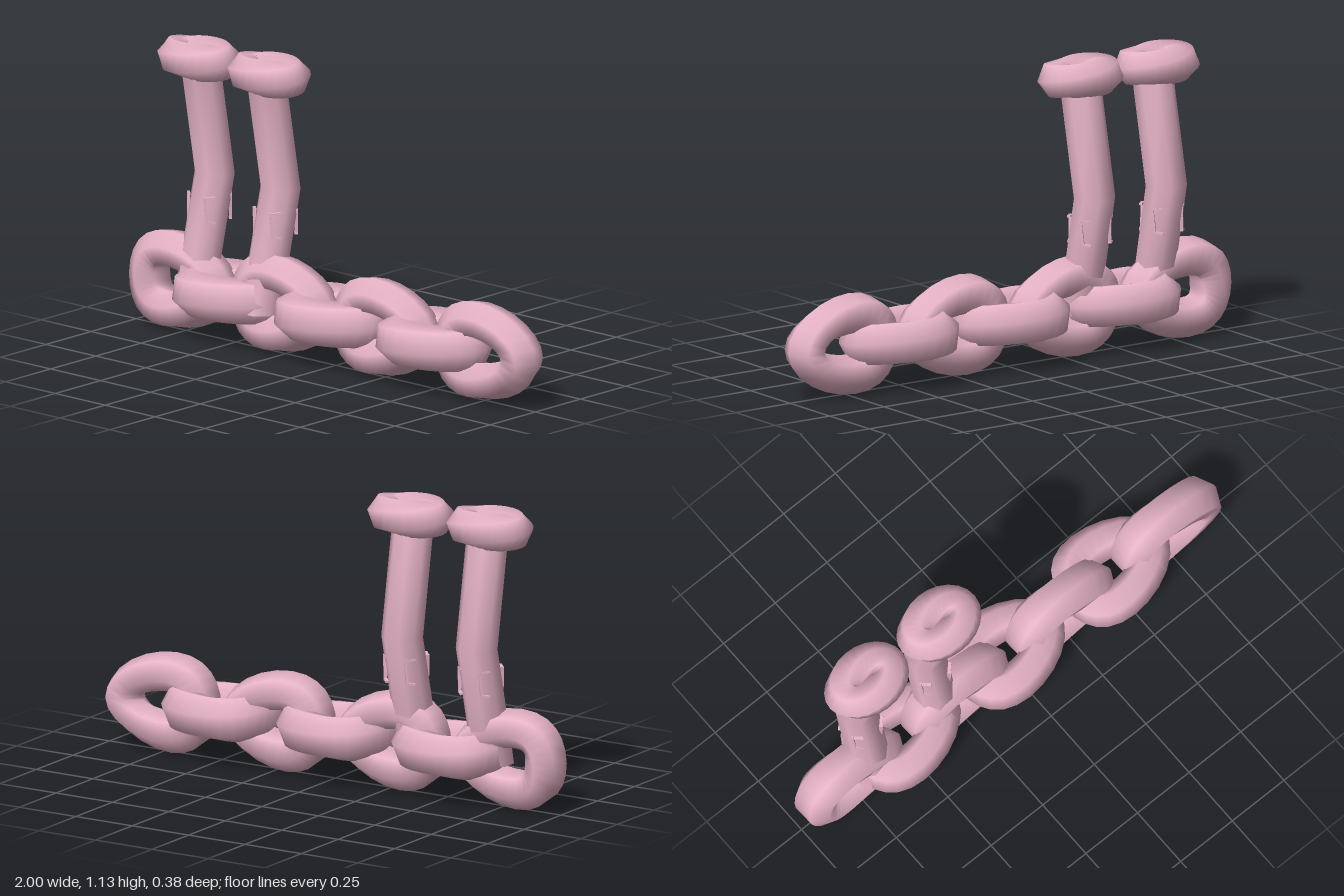
import * as THREE from 'three';
import { mergeVertices } from 'three/addons/utils/BufferGeometryUtils.js';

const pink = new THREE.MeshStandardMaterial({ color: 0xe6b3c6, side: THREE.DoubleSide });

// Closed oval ring in the xy plane: a hexagonal section that twists by `twist` sixths of a turn.
function twistedRing({ a, b, rIn, rOut, twist, skew }) {
  const N = 24, S = 6, pos = [], idx = [];
  for (let i = 0; i < N; i++) {
    const t = (i / N) * Math.PI * 2, c = Math.cos(t), s = Math.sin(t);
    for (let j = 0; j < S; j++) {
      const p = (j * Math.PI) / 3 + (twist * t) / 6;
      const d = rIn * Math.cos(p);
      pos.push(a * c - skew * s * s + d * c, b * s + d * s, rOut * Math.sin(p));
    }
  }
  const at = (i, j) => (i === N ? (j + twist) % S : i * S + (j % S));
  for (let i = 0; i < N; i++) {
    for (let j = 0; j < S; j++) {
      const p = at(i, j), q = at(i + 1, j), r = at(i + 1, j + 1), s = at(i, j + 1);
      idx.push(p, q, r, p, r, s);
    }
  }
  const g = new THREE.BufferGeometry();
  g.setAttribute('position', new THREE.Float32BufferAttribute(pos, 3));
  g.setIndex(idx);
  g.computeVertexNormals();
  return g;
}

// Pillar lean: the axis kinks backwards at mid height.
const axisZ = (y) => (y < 0.61 ? 0.03 - ((y - 0.15) / 0.46) * 0.105 : -0.075 + ((y - 0.61) / 0.41) * 0.08);

function bentPillar() {
  let g = new THREE.CylinderGeometry(0.079, 0.079, 1, 8, 2, true, Math.PI / 8);
  const p = g.attributes.position, levels = [0.15, 0.61, 1.05];
  for (let i = 0; i < p.count; i++) {
    const y = levels[Math.round((p.getY(i) + 0.5) * 2)];
    p.setXYZ(i, p.getX(i) + (y - 0.61) * 0.012, y, p.getZ(i) + axisZ(y));
  }
  g.deleteAttribute('uv');
  g.deleteAttribute('normal');
  g = mergeVertices(g);
  g.computeVertexNormals();
  return g;
}

function add(parent, name, geometry, x, y, z) {
  const m = new THREE.Mesh(geometry, pink);
  m.name = name;
  m.position.set(x, y, z);
  parent.add(m);
  return m;
}

export function createModel() {
  const model = new THREE.Group();
  model.name = 'chainWithPillars';

  // Chain of alternating upright and flat links
  const chain = new THREE.Group();
  chain.name = 'chain';
  model.add(chain);
  const linkGeo = twistedRing({ a: 0.168, b: 0.117, rIn: 0.074, rOut: 0.088, twist: 1, skew: 0.05 });
  for (let i = 0; i < 7; i++) {
    const flat = i % 2 === 1;
    const link = add(chain, flat ? 'flatLink' : 'uprightLink', linkGeo, -0.765 + i * 0.255, 0.188, 0);
    if (flat) link.rotation.x = Math.PI / 2;
  }

  // Two bent pillars, each with a ring on top and small raised clips
  const pillarGeo = bentPillar();
  const capGeo = twistedRing({ a: 0.105, b: 0.064, rIn: 0.07, rOut: 0.07, twist: 2, skew: 0 });
  [[-0.675, -0.685], [-0.345, -0.335]].forEach(([x, capX]) => {
    const group = new THREE.Group();
    group.name = 'pillarGroup';
    model.add(group);
    add(group, 'pillar', pillarGeo, x, 0, 0);
    add(group, 'topRing', capGeo, capX, 1.06, 0).rotation.x = Math.PI / 2;

    for (let k = 0; k < 4; k++) {
      const clip = new THREE.Group();
      clip.name = 'clip';
      clip.position.set(x, 0.485, axisZ(0.485));
      clip.rotation.y = Math.PI / 4 + (k * Math.PI) / 2;
      group.add(clip);
      add(clip, 'clipBar', new THREE.BoxGeometry(0.008, 0.1, 0.012), -0.018, 0, 0.077).rotation.z = 0.1;
      for (const s of [-1, 1]) {
        add(clip, 'clipTip', new THREE.BoxGeometry(0.036, 0.008, 0.012), 0, s * 0.046, 0.077).rotation.z = s * 0.15;
      }
    }
  });
  return model;
}
